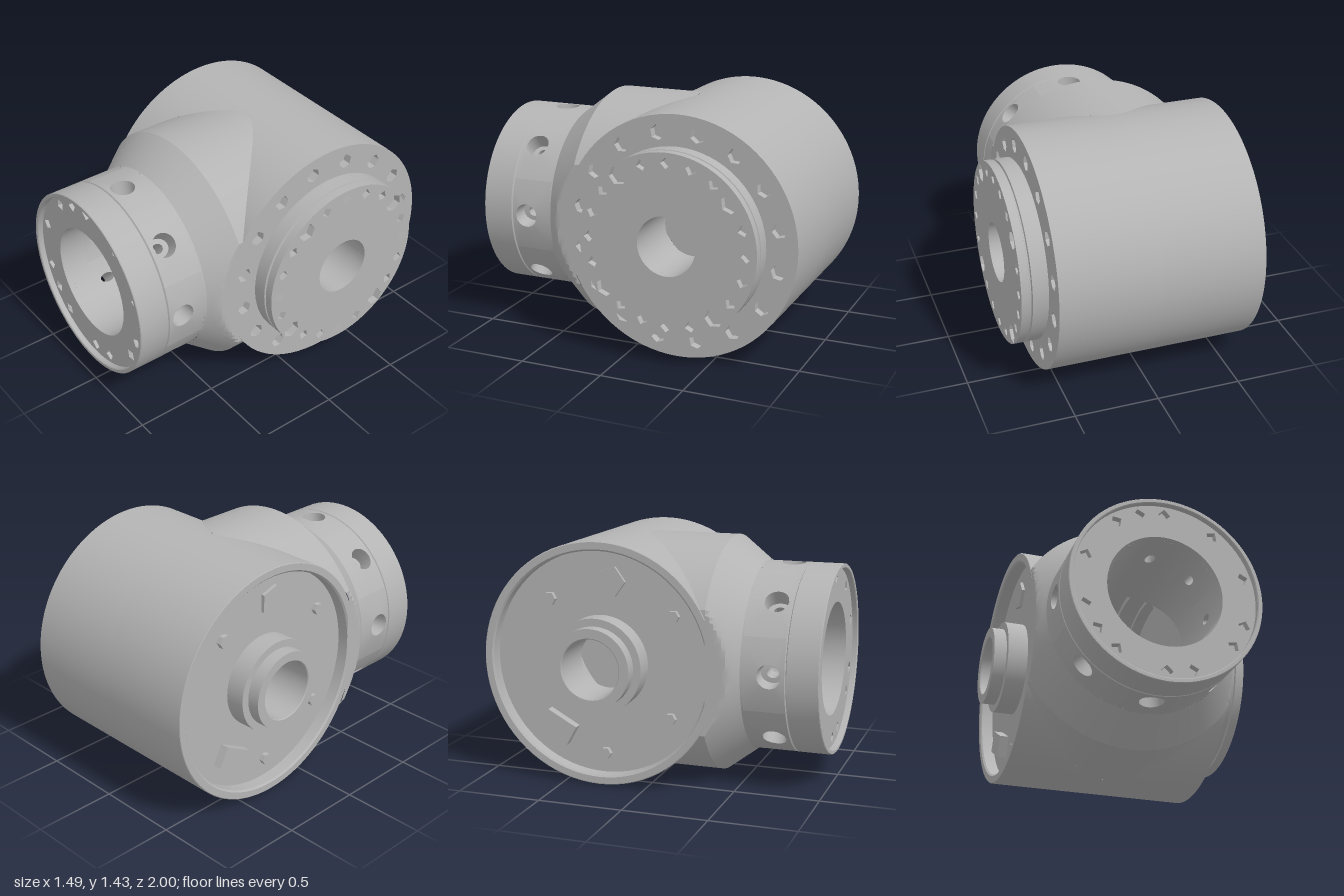
import * as THREE from 'three';
import { toCreasedNormals } from 'three/addons/utils/BufferGeometryUtils.js';

const CX = -0.025, CY = 0.72, CZ = -0.285; // axes of the neck and of the barrel
const HALF = 0.605, R = 0.715;             // barrel half length and radius
const TAU = Math.PI * 2;

export function createModel() {
  const model = new THREE.Group();
  const grey = new THREE.MeshStandardMaterial({ color: 0xb4b4b4 });
  grey.name = 'cast metal grey';

  function add(name, geo, x, y, z, crease = 0.6) {
    const mesh = new THREE.Mesh(toCreasedNormals(geo, crease), grey);
    mesh.name = name;
    mesh.position.set(x, y, z);
    model.add(mesh);
    return mesh;
  }
  // Surface through rows of [x, y, z] points
  function grid(rows, flip = false) {
    const n = rows[0].length, index = [];
    for (let i = 0; i + 1 < rows.length; i++) {
      for (let j = 0; j + 1 < n; j++) {
        const a = i * n + j, b = a + n, c = b + 1, d = a + 1;
        if (flip) index.push(a, b, d, b, c, d);
        else index.push(a, d, b, b, d, c);
      }
    }
    const geo = new THREE.BufferGeometry();
    geo.setAttribute('position', new THREE.Float32BufferAttribute(rows.flat(2), 3));
    geo.setIndex(index);
    return geo;
  }
  // Turned parts from [radius, position] profiles
  const lathe = (profile) => new THREE.LatheGeometry(profile.map((p) => new THREE.Vector2(...p)), 80);
  const turnX = (name, profile) => add(name, lathe(profile).rotateZ(-Math.PI / 2), 0, CY, CZ);
  const turnZ = (name, profile) => add(name, lathe(profile).rotateX(Math.PI / 2), CX, CY, 0);

  // Annular plate with blind polygonal holes, face at z = 0; holes are [angle, radius, size, sides]
  function drilledPlate(name, outer, inner, holes, depth, place) {
    const shape = new THREE.Shape().absarc(0, 0, outer, 0, TAU, false);
    shape.holes.push(new THREE.Path().absarc(0, 0, inner, 0, TAU, true));
    for (const [deg, r, size, sides] of holes) {
      const a = deg * Math.PI / 180, pts = [];
      for (let i = 0; i < sides; i++) {
        const t = a - i / sides * TAU;
        pts.push(new THREE.Vector2(r * Math.cos(a) + size * Math.cos(t), r * Math.sin(a) + size * Math.sin(t)));
      }
      shape.holes.push(new THREE.Path(pts));
    }
    const plate = new THREE.ExtrudeGeometry(shape, { depth, bevelEnabled: false, curveSegments: 40 });
    place(name, plate.translate(0, 0, -depth));
    place(name + 'HoleFloor', new THREE.RingGeometry(inner, outer - 0.005, 64).translate(0, 0, -depth));
  }
  const onX = (x) => (name, geo) => add(name, geo.rotateY(Math.PI / 2), x, CY, CZ);
  const onZ = (z) => (name, geo) => add(name, geo, CX, CY, z);

  // Barrel walls, trimmed where a cylinder of radius cut leaves towards the front
  function trimmedShell(name, radius, cut, x0, x1, flip) {
    for (const side of [-1, 1]) {
      const rows = [];
      for (let i = 0; i <= 192; i++) {
        const t = i / 192 * TAU, y = radius * Math.sin(t), z = radius * Math.cos(t);
        const gap = z > 0 ? Math.sqrt(Math.max(0, cut * cut - y * y)) : 0;
        const edge = side < 0 ? Math.max(x0, -gap) : Math.min(x1, gap);
        rows.push(side < 0 ? [[x0, y, z], [edge, y, z]] : [[edge, y, z], [x1, y, z]]);
      }
      add(name, grid(rows, flip), CX, CY, CZ);
    }
  }
  trimmedShell('barrel', R, 0.705, -HALF, HALF, false);
  trimmedShell('barrelLining', 0.62, 0.335, -0.425, 0.375, true);

  // Tube along z that starts on a barrel wall; sides are cut flat at the barrel ends
  function sleeve(name, wall, rings, flip) {
    const rows = [];
    for (const [r, z] of rings) {
      const row = [];
      for (let i = 0; i <= 128; i++) {
        const t = i / 128 * TAU, y = r * Math.sin(t);
        const x = THREE.MathUtils.clamp(r * Math.cos(t), -HALF, HALF);
        row.push([x, y, z === null ? CZ + Math.sqrt(wall * wall - y * y) : z]);
      }
      rows.push(row);
    }
    add(name, grid(rows, flip), CX, CY, 0, 0.4);
  }
  const cone = [];
  for (let i = 0; i <= 8; i++) cone.push([0.705 - 0.145 * i / 8, 0.36 + 0.19 * i / 8]);
  sleeve('neckShoulder', R, [[0.705, null], ...cone, [0.56, 0.56]], false);
  sleeve('neckBore', 0.62, [[0.335, null], [0.335, 0.56]], true);

  // Neck band: eight sectors, each with a counterbored hole through the wall
  const NR = 0.56, w0 = -0.155, w1 = 0.09, uMax = NR * Math.PI / 8;
  const outline = [];
  const edge = (ua, wa, ub, wb, n) => {
    for (let i = 0; i < n; i++) outline.push([ua + (ub - ua) * i / n, wa + (wb - wa) * i / n]);
  };
  edge(uMax, w0, uMax, w1, 6);
  edge(uMax, w1, -uMax, w1, 10);
  edge(-uMax, w1, -uMax, w0, 6);
  edge(-uMax, w0, uMax, w0, 10);
  outline.push(outline[0]);
  // Rows: [blend from hole to outline, hole radius, distance from the neck axis]
  const bandRows = [[1, 0.07, NR], [0.5, 0.07, NR], [0, 0.07, NR], [0, 0.07, 0.46],
    [0, 0.035, 0.46], [0, 0.045, 0.335], [0.5, 0.045, 0.335], [1, 0.045, 0.335]];
  for (let k = 0; k < 8; k++) {
    const rows = bandRows.map(([t, hole, r]) => outline.map(([u, w]) => {
      const d = Math.hypot(u, w);
      const a = k * TAU / 8 + THREE.MathUtils.lerp(u / d * hole, u, t) / NR;
      return [r * Math.cos(a), r * Math.sin(a), 0.715 + THREE.MathUtils.lerp(w / d * hole, w, t)];
    }));
    add('neckBand', grid(rows), CX, CY, 0);
  }

  // Neck collar with a groove and a thin raised lip
  turnZ('neckCollar', [[0.56, 0.804], [0.55, 0.81], [0.56, 0.816], [0.56, 0.996], [0.556, 1],
    [0.538, 1], [0.533, 0.995], [0.533, 0.94]]);
  turnZ('neckBoreFront', [[0.335, 0.95], [0.335, 0.804]]);
  const neckAngles = [18, 54, 90, 108, 126, 162, 198, 216, 234, 270, 288, 324, 342];
  drilledPlate('neckFace', 0.534, 0.335, neckAngles.map((a) => [a, 0.48, 0.036, 4]), 0.04, onZ(0.965));

  // Bolt ring on the left end of the barrel
  const boltRing = [], flangeHoles = [];
  for (let i = 0; i < 16; i++) boltRing.push([11.25 + i * 22.5, 0.615, 0.045, 6]);
  drilledPlate('boltRing', R - 0.001, 0.5, boltRing, 0.05, onX(CX + HALF));

  // Output flange: four counterbores among sixteen small holes
  for (let i = 0; i < 20; i++) {
    const big = i % 5 === 2;
    flangeHoles.push([i * 18 + (big ? 1.5 : 0), 0.475, big ? 0.056 : 0.033, big ? 6 : 4]);
  }
  turnX('flangeRim', [[0.52, 0.56], [0.52, 0.592], [0.535, 0.592], [0.535, 0.676], [0.522, 0.68],
    [0.522, 0.686], [0.535, 0.69], [0.535, 0.735]]);
  drilledPlate('flangeFace', 0.535, 0.175, flangeHoles, 0.045, onX(0.74));
  turnX('flangeBore', [[0.175, 0.72], [0.175, 0.35], [0.62, 0.35]]);
  turnX('innerStep', [[0.62, 0.17], [0.585, 0.17], [0.585, 0.28], [0.56, 0.28], [0.56, 0.35]].reverse());

  // Recessed right end with a stepped hollow hub
  turnX('recessedEndAndHub', [[0.62, -0.45], [0.175, -0.45], [0.175, -0.74], [0.18, -0.745],
    [0.235, -0.745], [0.235, -0.67], [0.28, -0.67], [0.28, -0.55], [0.66, -0.55],
    [0.66, -0.62], [0.67, -0.63], [0.71, -0.63], [R, -0.625]]);

  // Small fittings on the floor of the recess: [y, z, radius, height, sides]
  const fittings = [[0.48, 0.06, 0.09, 0.02, 5], [0.36, -0.32, 0.04, 0.03, 6], [-0.54, 0.02, 0.035, 0.03, 6],
    [0.3, 0.44, 0.035, 0.03, 6], [-0.3, 0.42, 0.035, 0.03, 6]];
  for (const [y, z, r, h, sides] of fittings) {
    add('recessFitting', new THREE.CylinderGeometry(r, r, h, sides).rotateZ(Math.PI / 2), -0.55 - h / 2, CY + y, CZ + z);
  }
  const tab = add('recessTab', new THREE.BoxGeometry(0.06, 0.13, 0.2), -0.575, CY - 0.4, CZ - 0.27);
  tab.rotation.x = 0.5;

  return model;
}
